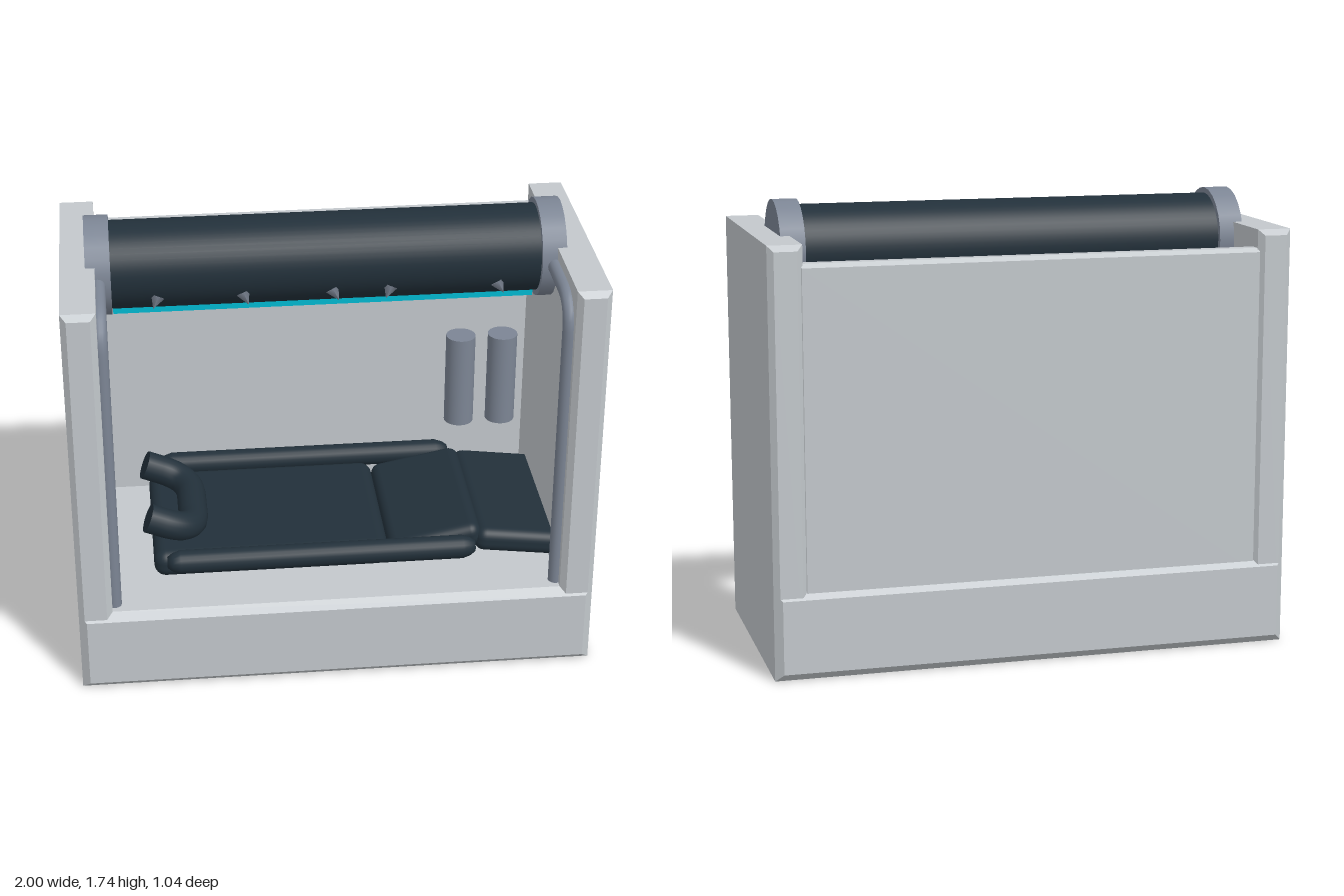
import * as THREE from 'three';
import { RoundedBoxGeometry } from 'three/addons/geometries/RoundedBoxGeometry.js';

const mat = (name, color) => new THREE.MeshStandardMaterial({ name, color });

export function createModel() {
  const shell = mat('pale grey shell', 0xc3c8cc);
  const metal = mat('steel grey metal', 0x7c8594);
  const dark = mat('dark slate padding', 0x22303a);
  const glow = mat('cyan light', 0x00b9d1);

  const model = new THREE.Group();
  model.name = 'enclosedBed';

  function add(name, geometry, material, x = 0, y = 0, z = 0) {
    const mesh = new THREE.Mesh(geometry, material);
    mesh.name = name;
    mesh.position.set(x, y, z);
    model.add(mesh);
    return mesh;
  }

  // Box with flat chamfers, given by its limits
  function chamferBox(name, [x0, x1], [y0, y1], [z0, z1], b) {
    const w = (x1 - x0) / 2 - b, h = (y1 - y0) / 2 - b, d = z1 - z0 - 2 * b;
    const shape = new THREE.Shape([
      new THREE.Vector2(-w, -h), new THREE.Vector2(w, -h),
      new THREE.Vector2(w, h), new THREE.Vector2(-w, h),
    ]);
    const geo = new THREE.ExtrudeGeometry(shape, {
      depth: d, bevelEnabled: true, bevelSize: b, bevelThickness: b, bevelSegments: 1,
    });
    geo.translate(0, 0, -d / 2);
    return add(name, geo, shell, (x0 + x1) / 2, (y0 + y1) / 2, (z0 + z1) / 2);
  }

  // Round tube along a path, closed with a disc at each end
  function cappedTube(name, curve, radius, material, segments = 48) {
    const tube = add(name, new THREE.TubeGeometry(curve, segments, radius, 16), material);
    for (const t of [0, 1]) {
      const cap = new THREE.Mesh(new THREE.CircleGeometry(radius, 16), material);
      const dir = curve.getTangentAt(t).multiplyScalar(t ? 1 : -1);
      cap.name = name + 'End';
      cap.position.copy(curve.getPointAt(t));
      cap.quaternion.setFromUnitVectors(new THREE.Vector3(0, 0, 1), dir);
      tube.add(cap);
    }
  }

  // Straight runs joined by rounded corners
  function bentPath(points, r) {
    const path = new THREE.CurvePath();
    let from = points[0];
    for (let i = 1; i < points.length - 1; i++) {
      const p = points[i];
      const a = p.clone().add(points[i - 1].clone().sub(p).setLength(r));
      const b = p.clone().add(points[i + 1].clone().sub(p).setLength(r));
      path.add(new THREE.LineCurve3(from, a));
      path.add(new THREE.QuadraticBezierCurve3(a, p, b));
      from = b;
    }
    path.add(new THREE.LineCurve3(from, points[points.length - 1]));
    return path;
  }
  const v = (x, y, z) => new THREE.Vector3(x, y, z);

  // Housing: base, back panel and two side walls
  chamferBox('base', [-1, 1], [0, 0.34], [-0.522, 0.522], 0.03);
  chamferBox('backPanel', [-0.89, 0.89], [0.28, 1.55], [-0.502, -0.43], 0.015);
  chamferBox('leftWall', [0.87, 1], [0.1, 1.62], [-0.514, 0.514], 0.022);
  chamferBox('rightWall', [-1, -0.87], [0.1, 1.62], [-0.514, 0.514], 0.022);

  // Overhead roller, its end caps and the light strip below
  const ry = 1.55, rz = -0.057;
  const roller = new THREE.CylinderGeometry(0.168, 0.168, 1.63, 48).rotateZ(Math.PI / 2);
  add('roller', roller, dark, 0, ry, rz);
  for (const s of [-1, 1]) {
    const cap = new THREE.CylinderGeometry(0.19, 0.19, 0.093, 24).rotateZ(Math.PI / 2);
    add(s > 0 ? 'leftRollerCap' : 'rightRollerCap', cap, metal, s * 0.859, ry, rz);
  }
  add('lightStrip', new THREE.BoxGeometry(1.62, 0.03, 0.06), glow, 0, 1.37, rz);

  // Little pointed nozzles along the lower front of the roller
  for (const [x, tilt] of [[-0.65, 0.4], [-0.31, -0.4], [0.03, -0.5], [0.23, 0.4], [0.66, -0.5]]) {
    const nozzle = add('nozzle', new THREE.ConeGeometry(0.027, 0.05, 4), metal, x, 1.458, 0.1);
    nozzle.rotation.set(Math.PI - 0.4, 0, tilt);
  }

  // Hand rails rising at the front and bending back to the roller
  for (const s of [-1, 1]) {
    const x = s * 0.861;
    cappedTube(s > 0 ? 'leftRail' : 'rightRail',
      bentPath([v(x, 0.33, 0.44), v(x, 1.55, 0.44), v(x, 1.55, 0)], 0.12), 0.028, metal);
  }

  // Two canisters on the back panel
  for (const x of [0.593, 0.765]) {
    add('canister', new THREE.CylinderGeometry(0.06, 0.06, 0.39, 32), metal, x, 0.825, -0.36);
  }

  // Mattress: back, thigh and leg cushions
  function cushion(name, length, height, width, x, y, tilt) {
    const geo = new RoundedBoxGeometry(length, height, width, 4, height * 0.42);
    add(name, geo, dark, x, y, 0).rotation.z = tilt;
  }
  cushion('backCushion', 0.92, 0.11, 0.66, -0.24, 0.422, 0);
  cushion('thighCushion', 0.37, 0.1, 0.65, 0.405, 0.449, 0.2);
  cushion('legCushion', 0.36, 0.1, 0.67, 0.74, 0.44, -0.13);

  // Side bolsters with tapered ends
  const profile = [[0, 0], [0.022, 0], [0.036, 0.02], [0.046, 0.05],
    [0.046, 1.15], [0.036, 1.18], [0.022, 1.2], [0, 1.2]].map(([r, y]) => new THREE.Vector2(r, y));
  for (const s of [-1, 1]) {
    const geo = new THREE.LatheGeometry(profile, 20).rotateZ(-Math.PI / 2);
    add(s > 0 ? 'frontBolster' : 'backBolster', geo, dark, -0.65, 0.474, s * 0.375);
  }

  // U-shaped head support
  cappedTube('headSupport', bentPath([
    v(-0.715, 0.575, 0.205), v(-0.535, 0.5, 0.205),
    v(-0.535, 0.5, -0.205), v(-0.715, 0.575, -0.205),
  ], 0.13), 0.058, dark, 64);

  return model;
}
